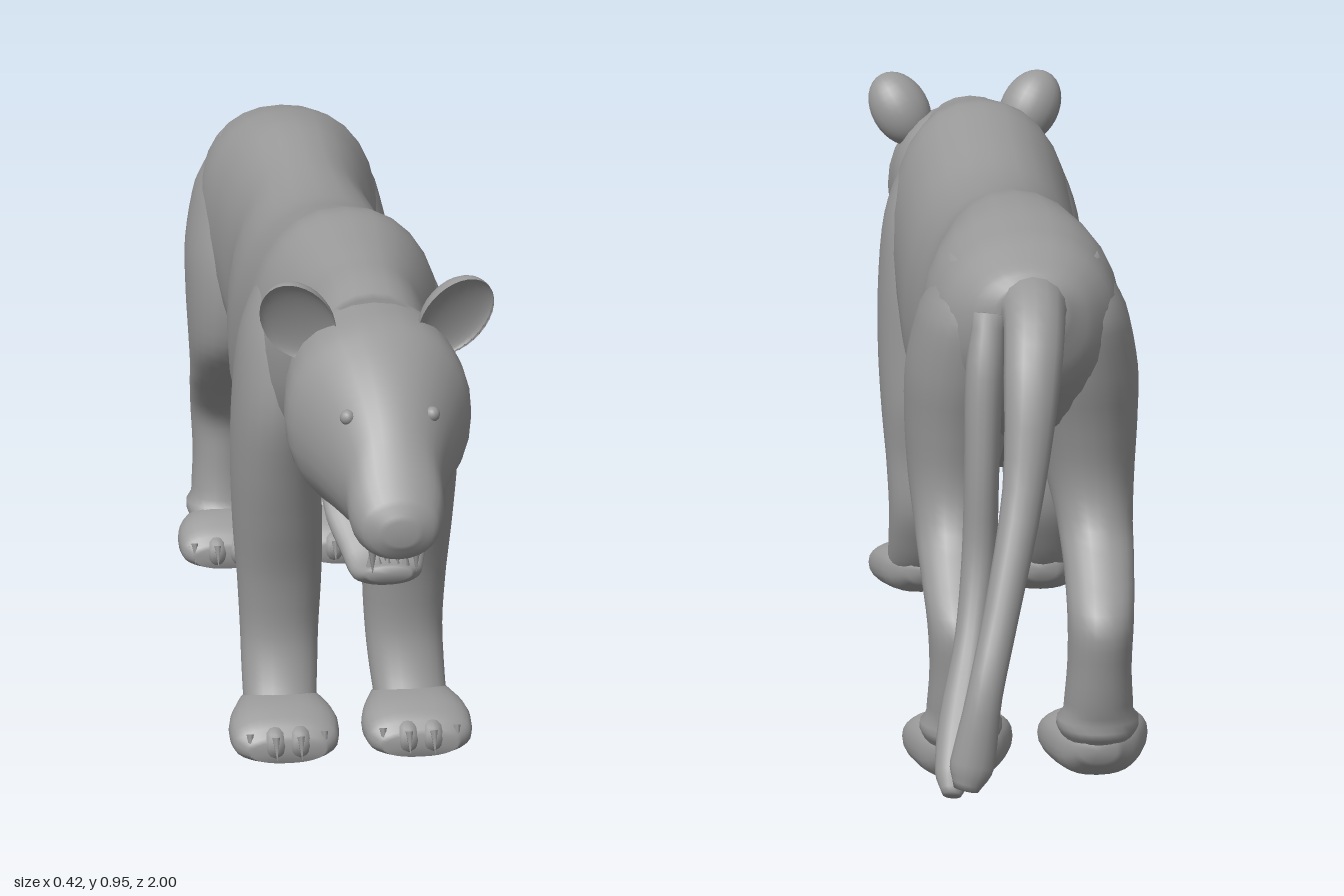
import * as THREE from 'three';

const fur = new THREE.MeshStandardMaterial({ color: 0x999999 });
fur.name = 'grey';
const X = new THREE.Vector3(1, 0, 0), Y = new THREE.Vector3(0, 1, 0), Z = new THREE.Vector3(0, 0, 1);

function add(parent, name, geometry) {
  const mesh = new THREE.Mesh(geometry, fur);
  mesh.name = name;
  parent.add(mesh);
  return mesh;
}

// Smooth closed skin through elliptical sections [x, y, z, radiusAcross, radiusOther].
// Sections lie square to the given axis, or to the path itself when there is none.
function loft(sections, axis, sides = 24, power = 1) {
  const curve = new THREE.CatmullRomCurve3(sections.map(s => new THREE.Vector3(s[0], s[1], s[2])));
  const radii = new THREE.CatmullRomCurve3(sections.map(s => new THREE.Vector3(s[3], s[4], 0)));
  const steps = (sections.length - 1) * 4;
  const pos = [], index = [];
  const bend = v => Math.sign(v) * Math.pow(Math.abs(v), power);
  for (let i = 0; i <= steps; i++) {
    const t = i / steps, c = curve.getPoint(t), r = radii.getPoint(t);
    const d = axis || curve.getTangent(t);
    const u = X.clone().addScaledVector(d, -d.x).normalize();
    const v = new THREE.Vector3().crossVectors(d, u);
    for (let j = 0; j < sides; j++) {
      const a = j / sides * Math.PI * 2;
      const p = c.clone().addScaledVector(u, r.x * bend(Math.cos(a))).addScaledVector(v, r.y * bend(Math.sin(a)));
      pos.push(p.x, p.y, p.z);
    }
  }
  const first = curve.getPoint(0), last = curve.getPoint(1), n = (steps + 1) * sides;
  pos.push(...first.toArray(), ...last.toArray());
  for (let j = 0; j < sides; j++) {
    const k = (j + 1) % sides;
    for (let i = 0; i < steps; i++) {
      const a = i * sides, b = a + sides;
      index.push(a + j, a + k, b + j, a + k, b + k, b + j);
    }
    index.push(n, k, j, n + 1, steps * sides + j, steps * sides + k);
  }
  const g = new THREE.BufferGeometry();
  g.setAttribute('position', new THREE.Float32BufferAttribute(pos, 3));
  g.setIndex(index);
  g.computeVertexNormals();
  return g;
}

// Rows [z, top, bottom, xMin, xMax] running forward
const alongZ = (rows, power) => loft(rows.map(([z, t, b, x0, x1]) =>
  [(x0 + x1) / 2, (t + b) / 2, z, (x1 - x0) / 2, (t - b) / 2]), Z, 28, power);
// Rows [z, top, bottom, halfWidth] centred on x = 0
const centred = (rows, power) => alongZ(rows.map(([z, t, b, w]) => [z, t, b, -w, w]), power);
// Rows [y, front, back, xMin, xMax] running upward
const alongY = rows => loft(rows.map(([y, f, b, x0, x1]) =>
  [(x0 + x1) / 2, y, (f + b) / 2, (x1 - x0) / 2, (f - b) / 2]), Y, 24, 0.95);

const mirrorX = rows => rows.map(r => [r[0], r[1], r[2], -r[4], -r[3]]);

function buildLeg(root, name, side, legRows, pawRows, claws) {
  const leg = new THREE.Group();
  leg.name = name;
  const flip = rows => side > 0 ? rows : mirrorX(rows);
  add(leg, 'limb', alongY(flip(legRows)));
  add(leg, 'paw', alongZ(flip(pawRows), 0.85));
  // Toes and claws spread across the front of the paw
  for (let i = 0; i < 4; i++) {
    const x = side * (0.05 + i * 0.042), z = claws.z - (i === 0 || i === 3 ? 0.02 : 0);
    const toe = add(leg, 'toe', new THREE.SphereGeometry(1, 12, 8));
    toe.scale.set(0.024, 0.03, 0.035);
    toe.position.set(x, claws.y, z - 0.03);
    const claw = add(leg, 'claw', new THREE.ConeGeometry(0.007, 0.04, 6));
    claw.position.set(x, claws.y, z + 0.006);
    claw.rotation.x = Math.PI - 0.4;
  }
  root.add(leg);
}

export function createModel() {
  const root = new THREE.Group();
  root.name = 'bigCat';

  // Torso and neck
  add(root, 'body', centred([
    [-0.69, 0.84, 0.76, 0.05], [-0.66, 0.865, 0.68, 0.10], [-0.58, 0.90, 0.58, 0.15],
    [-0.46, 0.922, 0.52, 0.165], [-0.35, 0.925, 0.475, 0.15], [-0.2, 0.90, 0.41, 0.138],
    [-0.08, 0.885, 0.385, 0.155], [0.05, 0.885, 0.385, 0.165], [0.2, 0.915, 0.42, 0.165],
    [0.34, 0.948, 0.47, 0.165], [0.45, 0.935, 0.54, 0.14], [0.55, 0.92, 0.59, 0.112],
    [0.62, 0.91, 0.61, 0.105], [0.68, 0.89, 0.62, 0.10]], 0.9));

  // Head with muzzle
  add(root, 'head', centred([
    [0.62, 0.87, 0.64, 0.10], [0.67, 0.885, 0.585, 0.14], [0.74, 0.875, 0.56, 0.148],
    [0.80, 0.845, 0.56, 0.125], [0.86, 0.80, 0.56, 0.096], [0.91, 0.75, 0.56, 0.077],
    [0.95, 0.70, 0.555, 0.073], [0.985, 0.66, 0.565, 0.058], [1.0, 0.63, 0.59, 0.025]], 0.95));

  // Open lower jaw
  add(root, 'lowerJaw', centred([
    [0.69, 0.63, 0.575, 0.09], [0.75, 0.585, 0.53, 0.085], [0.80, 0.545, 0.49, 0.068],
    [0.84, 0.515, 0.47, 0.056], [0.87, 0.51, 0.485, 0.035]], 0.9));

  // Teeth: long fangs outside, small ones between
  for (let i = -2; i <= 2; i++) {
    const fang = Math.abs(i) === 2, h = fang ? 0.045 : 0.018;
    const upper = add(root, 'upperTooth', new THREE.ConeGeometry(fang ? 0.008 : 0.006, h, 8));
    upper.position.set(i * 0.017, 0.565 - h / 2, fang ? 0.925 : 0.945);
    upper.rotation.x = Math.PI;
    const lower = add(root, 'lowerTooth', new THREE.ConeGeometry(0.007, fang ? 0.035 : 0.02, 8));
    lower.position.set(i * 0.014, fang ? 0.52 : 0.513, 0.855);
  }

  for (const side of [1, -1]) {
    const label = side > 0 ? 'left' : 'right';

    const eye = add(root, label + 'Eye', new THREE.SphereGeometry(0.012, 14, 10));
    eye.position.set(side * 0.066, 0.757, 0.868);

    // Cupped ear: front half of a sphere folded inward
    const cup = new THREE.SphereGeometry(1, 24, 16);
    const p = cup.attributes.position;
    for (let i = 0; i < p.count; i++) if (p.getZ(i) > 0) p.setZ(i, -0.35 * p.getZ(i));
    cup.scale(0.056, 0.075, 0.05);
    cup.computeVertexNormals();
    const ear = add(root, label + 'Ear', cup);
    ear.position.set(side * 0.125, 0.868, 0.725);
    ear.rotation.set(0.35, side * 0.15, -side * 0.5);

    buildLeg(root, label + 'FrontLeg', side, [
      [0.03, 0.44, 0.35, 0.05, 0.175], [0.08, 0.41, 0.30, 0.05, 0.175], [0.13, 0.38, 0.27, 0.045, 0.175],
      [0.2, 0.36, 0.24, 0.04, 0.175], [0.3, 0.37, 0.235, 0.035, 0.18], [0.4, 0.40, 0.22, 0.035, 0.188],
      [0.5, 0.43, 0.22, 0.04, 0.192], [0.62, 0.46, 0.22, 0.04, 0.19], [0.74, 0.45, 0.24, 0.03, 0.178],
      [0.84, 0.42, 0.28, 0.02, 0.14], [0.89, 0.38, 0.31, 0.02, 0.09]],
    [[0.30, 0.09, 0.05, 0.08, 0.14], [0.34, 0.11, 0.02, 0.04, 0.185], [0.41, 0.105, 0.01, 0.02, 0.207],
      [0.455, 0.085, 0.012, 0.025, 0.203], [0.48, 0.06, 0.02, 0.05, 0.175]], { y: 0.05, z: 0.485 });

    buildLeg(root, label + 'HindLeg', side, [
      [0.02, -0.54, -0.64, 0.06, 0.17], [0.07, -0.56, -0.68, 0.055, 0.17], [0.12, -0.58, -0.70, 0.055, 0.17],
      [0.2, -0.59, -0.715, 0.06, 0.165], [0.28, -0.585, -0.72, 0.06, 0.168], [0.35, -0.52, -0.66, 0.06, 0.175],
      [0.41, -0.44, -0.605, 0.055, 0.18], [0.48, -0.36, -0.585, 0.04, 0.187], [0.57, -0.33, -0.60, 0.02, 0.192],
      [0.67, -0.33, -0.63, 0, 0.19], [0.77, -0.36, -0.65, 0, 0.168], [0.86, -0.42, -0.60, 0, 0.12]],
    [[-0.68, 0.08, 0.04, 0.08, 0.14], [-0.64, 0.10, 0.005, 0.045, 0.18], [-0.57, 0.105, 0, 0.022, 0.203],
      [-0.52, 0.08, 0.005, 0.025, 0.2], [-0.495, 0.055, 0.012, 0.05, 0.175]], { y: 0.042, z: -0.488 });
  }

  // Tail, falling from the rump and swinging to the left
  add(root, 'tail', loft([
    [0, 0.80, -0.62, 0.07, 0.06], [0, 0.80, -0.70, 0.05, 0.045], [0.01, 0.725, -0.785, 0.045, 0.036],
    [0.03, 0.55, -0.845, 0.033, 0.03], [0.07, 0.375, -0.915, 0.028, 0.028], [0.10, 0.26, -0.963, 0.028, 0.025],
    [0.12, 0.15, -0.97, 0.035, 0.028], [0.13, 0.11, -0.975, 0.02, 0.018]], null, 16));

  // Inner strand of the tail, meeting the tip
  add(root, 'innerTail', loft([
    [0.07, 0.80, -0.69, 0.025, 0.022], [0.08, 0.70, -0.71, 0.03, 0.035], [0.085, 0.55, -0.722, 0.028, 0.037],
    [0.09, 0.41, -0.73, 0.028, 0.034], [0.105, 0.295, -0.775, 0.027, 0.032], [0.13, 0.18, -0.86, 0.035, 0.033],
    [0.145, 0.115, -0.92, 0.03, 0.025], [0.15, 0.09, -0.945, 0.015, 0.012]], null, 16));

  return root;
}
